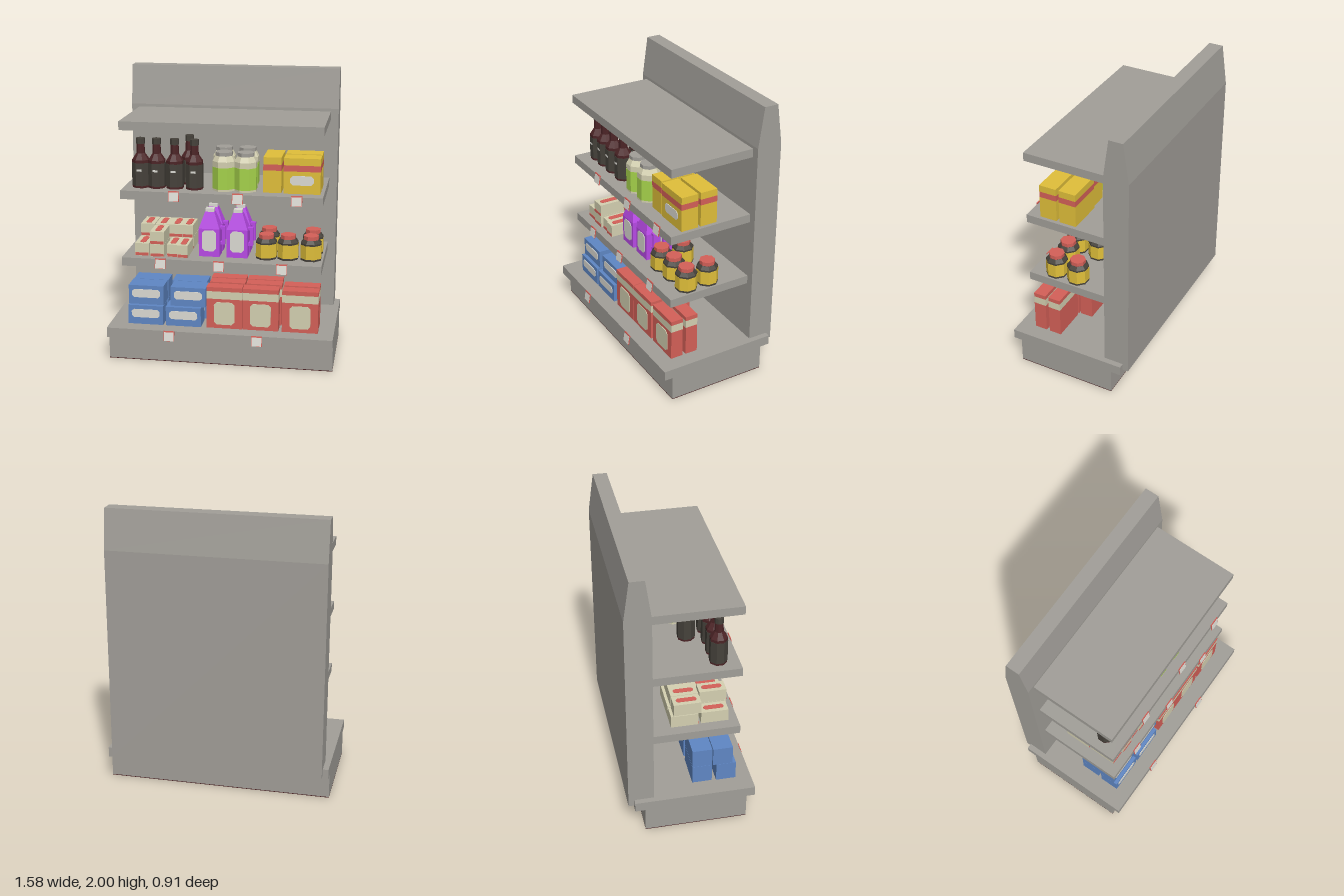
import * as THREE from 'three';

const mat = (name, color) => {
  const m = new THREE.MeshStandardMaterial({ color });
  m.name = name;
  return m;
};

export function createModel() {
  const grey = mat('shelfGrey', 0xa19e98), white = mat('labelWhite', 0xdcdbd4);
  const red = mat('red', 0xd46058), yellow = mat('yellow', 0xe0bf3a);
  const blue = mat('blue', 0x5f87c4), purple = mat('purple', 0xc04df0);
  const green = mat('green', 0xa6d34b), cream = mat('cream', 0xd4d0b1);
  const wine = mat('wine', 0x4c2426), dark = mat('charcoal', 0x46423b);
  const model = new THREE.Group();
  model.name = 'stockedShelf';

  const group = (name, x, y, z) => {
    const g = new THREE.Group();
    g.name = name;
    g.position.set(x, y, z);
    model.add(g);
    return g;
  };
  const add = (parent, name, geo, material, x = 0, y = 0, z = 0) => {
    const m = new THREE.Mesh(geo, material);
    m.name = name;
    m.position.set(x, y, z);
    parent.add(m);
    return m;
  };
  // Box given by its ranges
  const span = (name, x0, x1, y0, y1, z0, z1, material, parent = model) =>
    add(parent, name, new THREE.BoxGeometry(x1 - x0, y1 - y0, z1 - z0), material,
      (x0 + x1) / 2, (y0 + y1) / 2, (z0 + z1) / 2);
  // Faceted prism with flat sides facing the axes; r is half the width
  const prism = (sides, rBottom, rTop, h, depthScale = 1) => {
    const k = 1 / Math.cos(Math.PI / sides);
    const g = new THREE.CylinderGeometry(rTop * k, rBottom * k, h, sides)
      .rotateY(Math.PI / sides).scale(1, 1, depthScale).toNonIndexed();
    g.computeVertexNormals();
    return g;
  };
  // Stack of prism sections: [name, y0, y1, rBottom, rTop, material]
  const stack = (g, sides, sections, depthScale = 1) => sections.forEach(([name, y0, y1, r0, r1, m]) =>
    add(g, name, prism(sides, r0, r1, y1 - y0, depthScale), m, 0, (y0 + y1) / 2, 0));
  // Thin plate with cut corners, facing +z
  const plate = (w, h, c) => {
    const a = w / 2, b = h / 2;
    const s = new THREE.Shape([[-a + c, -b], [a - c, -b], [a, -b + c], [a, b - c],
      [a - c, b], [-a + c, b], [-a, b - c], [-a, -b + c]].map(p => new THREE.Vector2(...p)));
    return new THREE.ExtrudeGeometry(s, { depth: 0.004, bevelEnabled: false });
  };
  // Carton made of stacked colour bands: [y0, y1, material]
  const carton = (g, w, d, bands) => bands.forEach(([y0, y1, m]) =>
    span('cartonBand', -w / 2, w / 2, y0, y1, -d / 2, d / 2, m, g));

  // Base
  span('basePlinth', -0.79, 0.79, 0.005, 0.18, -0.34, 0.38, grey);
  span('baseUnderside', -0.79, 0.79, 0, 0.005, -0.34, 0.38, wine);
  span('baseDeck', -0.79, 0.79, 0.18, 0.25, -0.41, 0.44, grey);

  // Back panel, tapered near the top
  const profile = new THREE.Shape([[0.27, 0.2], [0.45, 0.2], [0.45, 1.72], [0.41, 2], [0.31, 2], [0.27, 1.72]]
    .map(p => new THREE.Vector2(...p)));
  add(model, 'backPanel', new THREE.ExtrudeGeometry(profile, { depth: 1.5, bevelEnabled: false })
    .rotateY(Math.PI / 2), grey, -0.75, 0, 0);

  // Shelves
  for (const y of [0.68, 1.16, 1.64]) span('shelf', -0.695, 0.695, y, y + 0.06, -0.27, 0.34, grey);

  // Price tags, tilted outward at the bottom
  const tag = (x, y, z) => {
    const g = group('priceTag', x, y, z);
    g.rotation.x = -0.17;
    span('tagBack', -0.038, 0.038, -0.036, 0.036, -0.003, 0.003, red, g);
    span('tagFace', -0.034, 0.034, -0.034, 0.027, 0.003, 0.005, white, g);
  };
  [-0.345, 0.27].forEach(x => tag(x, 0.216, 0.447));
  [-0.42, -0.01, 0.425].forEach(x => tag(x, 0.71, 0.347));
  [-0.32, 0.12, 0.52].forEach(x => tag(x, 1.195, 0.347));

  // Blue cartons: two deep, two high
  for (const [x, y, z] of [[-0.535, 0.25, 0.26], [-0.265, 0.25, 0.26], [-0.535, 0.39, 0.235], [-0.235, 0.39, 0.235],
    [-0.53, 0.25, 0.09], [-0.24, 0.25, 0.09], [-0.53, 0.39, 0.09], [-0.25, 0.39, 0.09]]) {
    const g = group('blueCarton', x, y, z);
    carton(g, 0.25, 0.14, [[0, 0.138, blue]]);
    add(g, 'blueCartonLabel', plate(0.2, 0.06, 0.015), white, 0, 0.08, 0.07);
  }

  // Red cartons
  for (const [x, z] of [[0.025, 0.28], [0.28, 0.28], [0.555, 0.28], [0.03, 0.165], [0.29, 0.165], [0.555, 0.165],
    [0.025, 0.062], [0.285, 0.062]]) {
    const g = group('redCarton', x, 0.25, z);
    carton(g, 0.25, 0.09, [[0, 0.215, red], [0.215, 0.27, cream], [0.27, 0.3, red]]);
    add(g, 'redCartonLabel', plate(0.145, 0.165, 0.02), cream, 0, 0.11, 0.045);
  }

  // Small cream packets with red stripes
  for (const [x, layer, z] of [[-0.565, 0, 0.18], [-0.455, 0, 0.19], [-0.35, 0, 0.18], [-0.275, 0, 0.19],
    [-0.57, 0, -0.03], [-0.46, 0, -0.03], [-0.36, 0, -0.03], [-0.275, 0, -0.03],
    [-0.455, 1, 0.19], [-0.565, 1, -0.01], [-0.46, 1, -0.01], [-0.36, 1, -0.01], [-0.275, 1, -0.01]]) {
    const g = group('creamPacket', x, 0.74 + layer * 0.09, z);
    const w = x === -0.275 || x === -0.35 ? 0.075 : 0.1;
    carton(g, w, 0.19, [[0, 0.089, cream]]);
    add(g, 'packetStripe', new THREE.BoxGeometry(w - 0.006, 0.02, 0.004), red, 0, 0.012, 0.096);
    add(g, 'packetTopLabel', plate(0.04, 0.14, 0.012).rotateX(-Math.PI / 2), red, 0, 0.088, 0);
  }

  // Purple jugs with side handles
  for (const x of [-0.097, 0.1]) for (const z of [0.17, 0.032]) {
    const g = group('purpleJug', x, 0.74, z);
    stack(g, 4, [['jugBody', 0, 0.2, 0.073, 0.073, purple], ['jugShoulder', 0.2, 0.315, 0.073, 0.033, purple],
      ['jugCap', 0.315, 0.338, 0.03, 0.03, white]], 0.78);
    span('jugHandleGrip', 0.085, 0.105, 0.08, 0.21, -0.018, 0.018, purple, g);
    for (const y of [0.08, 0.19]) span('jugHandleArm', 0.06, 0.085, y, y + 0.02, -0.018, 0.018, purple, g);
    add(g, 'jugLabel', plate(0.1, 0.15, 0.02), white, 0, 0.115, 0.057);
  }

  // Jars
  for (const [x, z] of [[0.3, 0.18], [0.45, 0.17], [0.61, 0.17], [0.3, 0.01], [0.61, 0.005]]) {
    const g = group('jar', x, 0.74, z);
    stack(g, 8, [['jarBase', 0, 0.014, 0.07, 0.07, dark], ['jarLabel', 0.014, 0.11, 0.071, 0.071, yellow],
      ['jarRim', 0.11, 0.122, 0.07, 0.07, dark], ['jarShoulder', 0.122, 0.145, 0.07, 0.052, dark],
      ['jarLid', 0.145, 0.172, 0.05, 0.05, red]]);
  }

  // Wine bottles
  for (const [x, z] of [[-0.578, 0.2], [-0.465, 0.2], [-0.338, 0.2], [-0.2, 0.2], [-0.262, 0.05]]) {
    const g = group('wineBottle', x, 1.22, z);
    stack(g, 8, [['bottleFoot', 0, 0.015, 0.056, 0.056, wine], ['bottleLabel', 0.015, 0.175, 0.058, 0.058, dark],
      ['bottleBody', 0.175, 0.195, 0.056, 0.056, wine], ['bottleShoulder', 0.195, 0.24, 0.056, 0.028, wine],
      ['bottleNeck', 0.24, 0.305, 0.028, 0.026, wine], ['bottleCap', 0.305, 0.345, 0.029, 0.029, dark]]);
    add(g, 'bottleMark', new THREE.BoxGeometry(0.035, 0.014, 0.003), white, 0, 0.125, 0.058);
  }

  // Green and cream canisters
  for (const [x, z] of [[0.005, 0.195], [0.155, 0.195], [-0.02, 0.02], [0.145, 0.02]]) {
    const g = group('canister', x, 1.22, z);
    stack(g, 8, [['canisterFoot', 0, 0.014, 0.075, 0.075, cream], ['canisterBand', 0.014, 0.165, 0.076, 0.076, green],
      ['canisterTop', 0.165, 0.205, 0.075, 0.075, cream], ['canisterShoulder', 0.205, 0.242, 0.075, 0.056, cream],
      ['canisterLid', 0.242, 0.267, 0.056, 0.056, grey]]);
  }

  // Yellow cartons, the first one turned sideways
  for (const [x, z, turn] of [[0.342, 0.115, -Math.PI / 2], [0.545, 0.185, 0], [0.545, 0.04, 0]]) {
    const g = group('yellowCarton', x, 1.22, z);
    g.rotation.y = turn;
    carton(g, 0.25, 0.124, [[0, 0.155, yellow], [0.155, 0.197, red], [0.197, 0.246, yellow]]);
    add(g, 'yellowCartonLabel', plate(0.16, 0.066, 0.018), white, 0, 0.093, 0.062);
  }

  return model;
}
